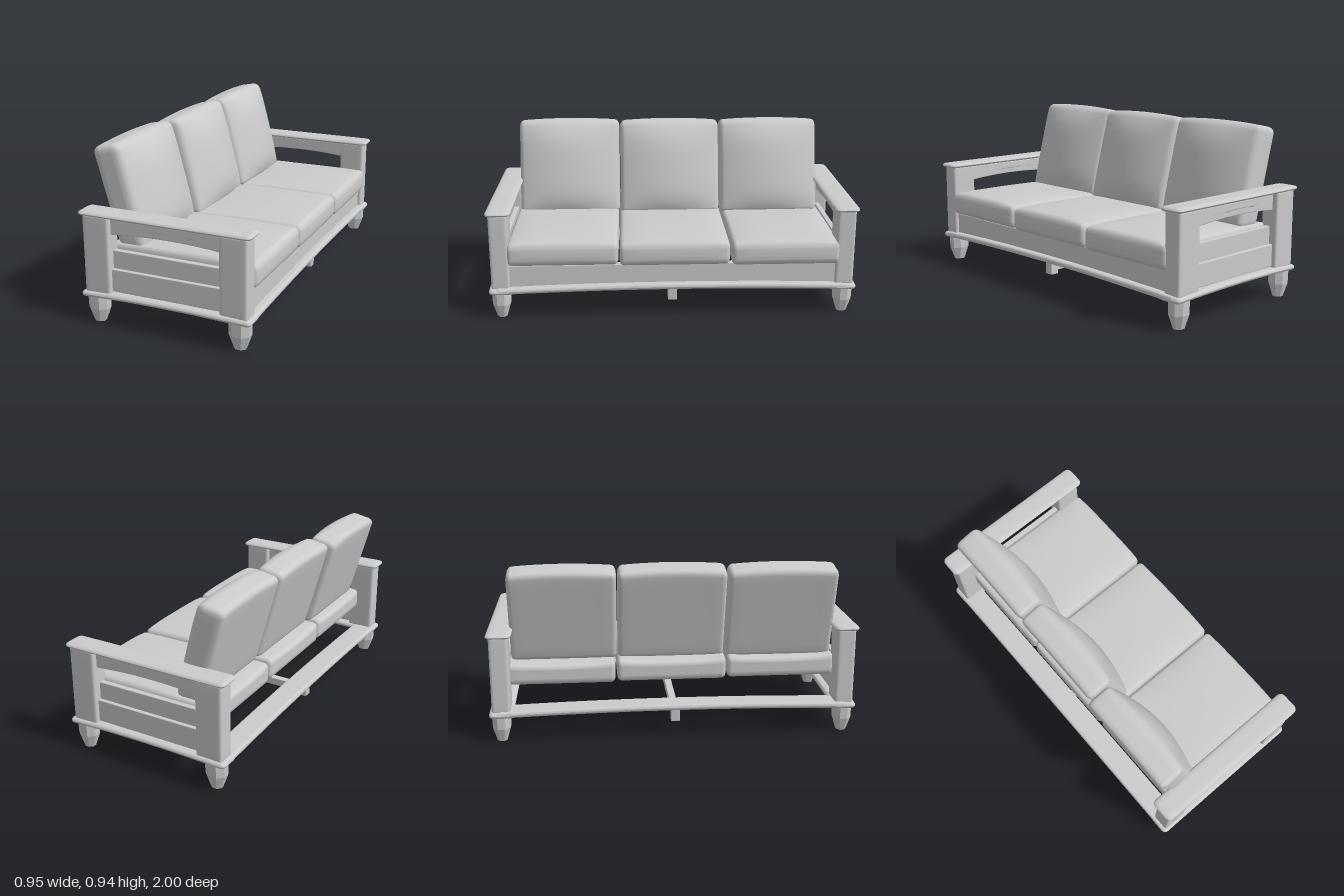
import * as THREE from 'three';
import { mergeVertices } from 'three/addons/utils/BufferGeometryUtils.js';

const ARC = 2, MID = 10, SEG = 2 * ARC + MID;
const material = new THREE.MeshStandardMaterial({ color: 0xcccccc });
const legMaterial = new THREE.MeshStandardMaterial({ color: 0xcccccc, flatShading: true });

// Box with rounded edges (one radius per axis); bend(p, u) may move each point p,
// where u is its place in the box from -1 to 1.
function softBox(name, xs, ys, zs, radii, bend) {
  const ranges = [xs, ys, zs];
  const half = ranges.map(r => (r[1] - r[0]) / 2);
  const centre = ranges.map(r => (r[1] + r[0]) / 2);
  const raw = new THREE.BoxGeometry(1, 1, 1, SEG, SEG, SEG);
  raw.deleteAttribute('uv');
  raw.deleteAttribute('normal');
  const geometry = mergeVertices(raw, 1e-5);
  const pos = geometry.attributes.position;
  const p = new THREE.Vector3(), u = new THREE.Vector3(), off = new THREE.Vector3();
  for (let i = 0; i < pos.count; i++) {
    const inner = [0, 1, 2].map(a => {
      const step = Math.round((pos.getComponent(i, a) + 0.5) * SEG);
      const flat = half[a] - radii[a];
      let o = 0;
      if (step < ARC) o = step / ARC - 1;
      if (step > SEG - ARC) o = (step - SEG + ARC) / ARC;
      off.setComponent(a, o);
      return flat * THREE.MathUtils.clamp((step - ARC) / MID * 2 - 1, -1, 1);
    });
    off.normalize();
    for (let a = 0; a < 3; a++) {
      const v = inner[a] + off.getComponent(a) * radii[a];
      u.setComponent(a, v / half[a]);
      p.setComponent(a, v + centre[a]);
    }
    if (bend) bend(p, u);
    pos.setXYZ(i, p.x, p.y, p.z);
  }
  geometry.computeVertexNormals();
  const mesh = new THREE.Mesh(geometry, material);
  mesh.name = name;
  return mesh;
}

const even = r => [r, r, r];
const dome = (t, n = 2) => 1 - Math.abs(t) ** n;
// Range mirrored to the given side
const side = (s, a, b) => (s > 0 ? [a, b] : [-b, -a]);

// Tapered eight-sided foot
function makeLeg(x, z) {
  const points = [[0, 0], [0.03, 0], [0.055, 0.075], [0.057, 0.16], [0, 0.16]]
    .map(([r, y]) => new THREE.Vector2(r / Math.cos(Math.PI / 8), y));
  const leg = new THREE.Mesh(new THREE.LatheGeometry(points, 8, Math.PI / 8), legMaterial);
  leg.name = 'leg';
  leg.scale.z = 0.87;
  leg.position.set(x, 0, z);
  return leg;
}

// One arm: posts, armrest, arched rail, boards and feet
function makeArm(s) {
  const arm = new THREE.Group();
  arm.name = s > 0 ? 'armNear' : 'armFar';
  for (const e of [-1, 1]) {
    arm.add(makeLeg(e * 0.4, s * 0.938));
    arm.add(softBox('post', side(e, 0.305, 0.455), [0.165, 0.592], side(s, 0.885, 0.985), even(0.014)));
  }
  arm.add(
    softBox('armrest', [-0.477, 0.477], [0.583, 0.61], side(s, 0.865, 1), [0.03, 0.013, 0.03]),
    softBox('armRail', [-0.31, 0.31], [0.49, 0.58], side(s, 0.915, 0.955), even(0.004), (p, u) => {
      p.y += dome(u.x) * (u.y < 0 ? 0.016 : -0.003);
    }),
    softBox('upperSideBoard', [-0.31, 0.31], [0.3, 0.403], side(s, 0.91, 0.94), even(0.004)),
    softBox('lowerSideBoard', [-0.31, 0.31], [0.183, 0.306], side(s, 0.91, 0.96), even(0.004)),
    softBox('sideBaseRail', [-0.476, 0.476], [0.14, 0.174], side(s, 0.87, 1), [0.025, 0.016, 0.025], (p, u) => {
      p.y += 0.011 * dome(u.x);
    })
  );
  return arm;
}

// Seat cushion, crowned on top with a soft front edge
function makeSeat(z0, z1, lift) {
  return softBox('seatCushion', [-0.36, 0.465], [0.295 + lift, 0.425 + lift], [z0, z1], [0.03, 0.03, 0.025], (p, u) => {
    if (u.y > 0) p.y += u.y * (0.022 * dome(u.x - 0.35) * dome(u.z, 4) - 0.004);
    if (u.x > 0) p.x += 0.01 * u.x * dome(u.y) * dome(u.z, 4);
  });
}

// Leaning back cushion with a padded front
function makeBack(z0, z1, shift) {
  return softBox('backCushion', [-0.075, 0.075], [0.4, 0.925], [z0, z1], [0.035, 0.035, 0.028], (p, u) => {
    const h = p.y - 0.4;
    const x = p.x;
    if (u.x > 0) p.x += 0.062 * u.x * dome(u.z) * dome(u.y, 4);
    p.x += -0.23 + shift - 0.27 * h;
    p.y += (h / 0.525) * (0.2 * x + 0.012 * dome(u.z));
  });
}

export function createModel() {
  const sofa = new THREE.Group();
  sofa.name = 'sofa';
  sofa.add(makeArm(1), makeArm(-1));

  // Arched base planks at front and back, and the front board
  const arch = (p, u) => { p.y += 0.018 * dome(u.z); };
  sofa.add(
    softBox('frontBaseRail', [0.36, 0.475], [0.143, 0.176], [-0.96, 0.96], even(0.015), arch),
    softBox('backBaseRail', [-0.475, -0.34], [0.143, 0.176], [-0.96, 0.96], even(0.015), arch),
    softBox('frontBoard', [0.395, 0.435], [0.175, 0.298], [-0.89, 0.89], even(0.004))
  );

  // Centre support beam under the seat
  sofa.add(softBox('centreBeam', [-0.43, 0.43], [0.108, 0.15], [-0.015, 0.025], even(0.003)));
  for (const e of [-1, 1]) {
    sofa.add(softBox('beamBlock', side(e, 0.39, 0.44), [0.088, 0.165], [-0.02, 0.03], even(0.003)));
  }

  // Three seats and three backs, each set slightly differently
  sofa.add(
    makeSeat(0.297, 0.895, 0.006), makeSeat(-0.307, 0.292, 0), makeSeat(-0.905, -0.317, -0.006),
    makeBack(0.29, 0.882, 0), makeBack(-0.3, 0.286, 0.025), makeBack(-0.885, -0.306, 0.03)
  );
  return sofa;
}
